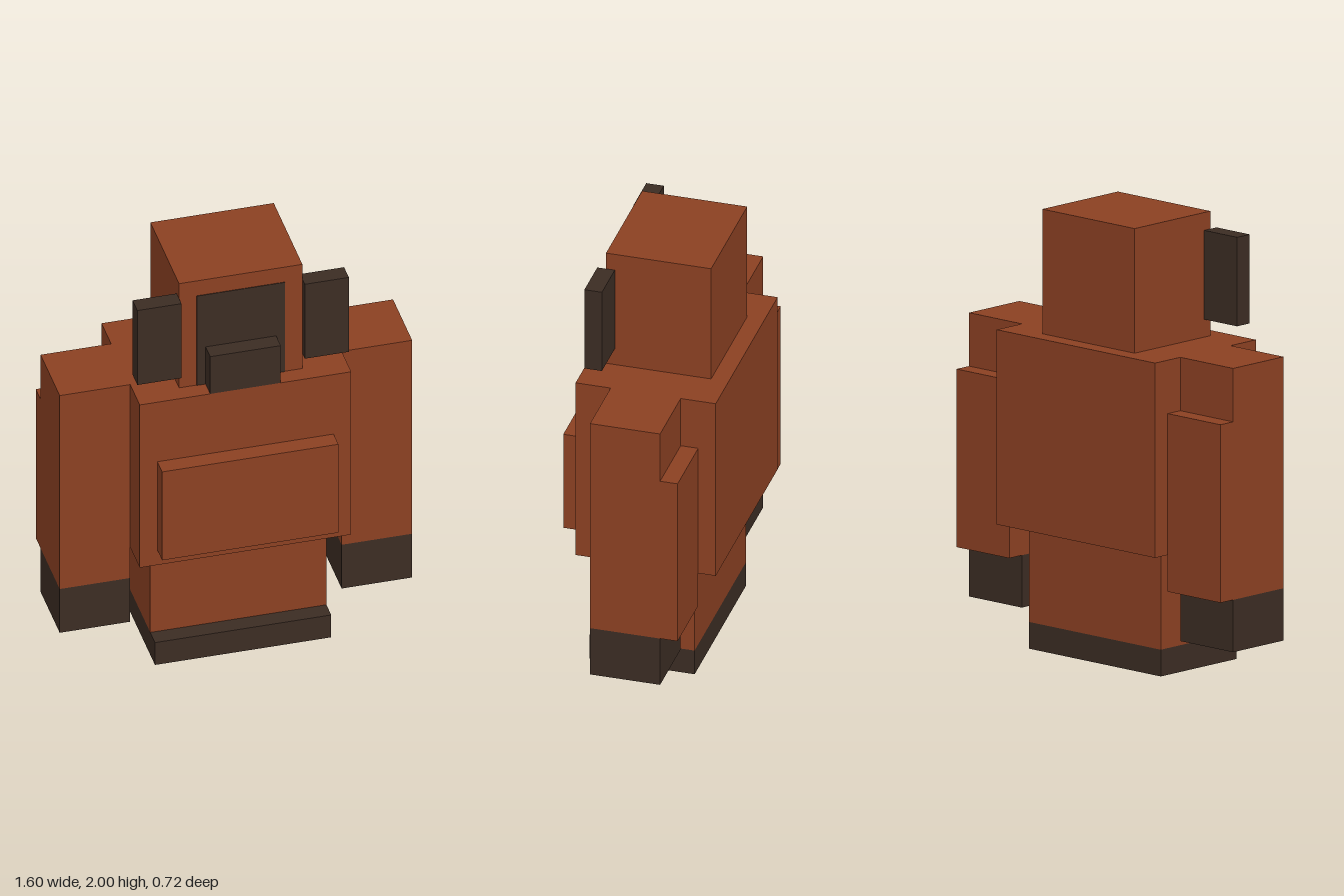
import * as THREE from 'three';

export function createModel() {
  const model = new THREE.Group();
  model.name = 'blockyApe';

  const fur = new THREE.MeshStandardMaterial({ color: 0x8b4022 });
  fur.name = 'rustFur';
  const skin = new THREE.MeshStandardMaterial({ color: 0x3b2c23 });
  skin.name = 'darkSkin';

  // Box given by its [min, max] extents on each axis
  function block(name, material, [x0, x1], [y0, y1], [z0, z1], parent = model) {
    const mesh = new THREE.Mesh(new THREE.BoxGeometry(x1 - x0, y1 - y0, z1 - z0), material);
    mesh.position.set((x0 + x1) / 2, (y0 + y1) / 2, (z0 + z1) / 2);
    mesh.name = name;
    parent.add(mesh);
  }

  // Feet, legs and body
  block('feet', skin, [-0.4, 0.4], [0, 0.12], [-0.24, 0.24]);
  block('legs', fur, [-0.4, 0.4], [0.12, 0.565], [-0.24, 0.16]);
  block('torso', fur, [-0.48, 0.48], [0.565, 1.44], [-0.36, 0.28]);
  block('belly', fur, [-0.4, 0.4], [0.645, 1.12], [0.28, 0.36]);

  // Head with painted face and muzzle
  block('head', fur, [-0.28, 0.28], [1.44, 2], [-0.28, 0.2]);
  block('face', skin, [-0.2, 0.2], [1.44, 1.92], [0.2, 0.203]);
  block('muzzle', skin, [-0.16, 0.16], [1.44, 1.64], [0.2, 0.28]);

  // Mirrored cheek flaps and arms
  for (const [side, s] of [['left', 1], ['right', -1]]) {
    const span = (a, b) => (s > 0 ? [a, b] : [-b, -a]);
    block(side + 'CheekFlap', skin, span(0.28, 0.48), [1.52, 1.92], [0.16, 0.24]);

    const arm = new THREE.Group();
    arm.name = side + 'Arm';
    block(side + 'ArmFur', fur, span(0.48, 0.8), [0.4, 1.44], [-0.2, 0.12], arm);
    block(side + 'ArmBackFur', fur, span(0.48, 0.8), [0.4, 1.2], [-0.28, -0.2], arm);
    block(side + 'Hand', skin, span(0.48, 0.8), [0.165, 0.4], [-0.2, 0.12], arm);
    model.add(arm);
  }

  return model;
}
